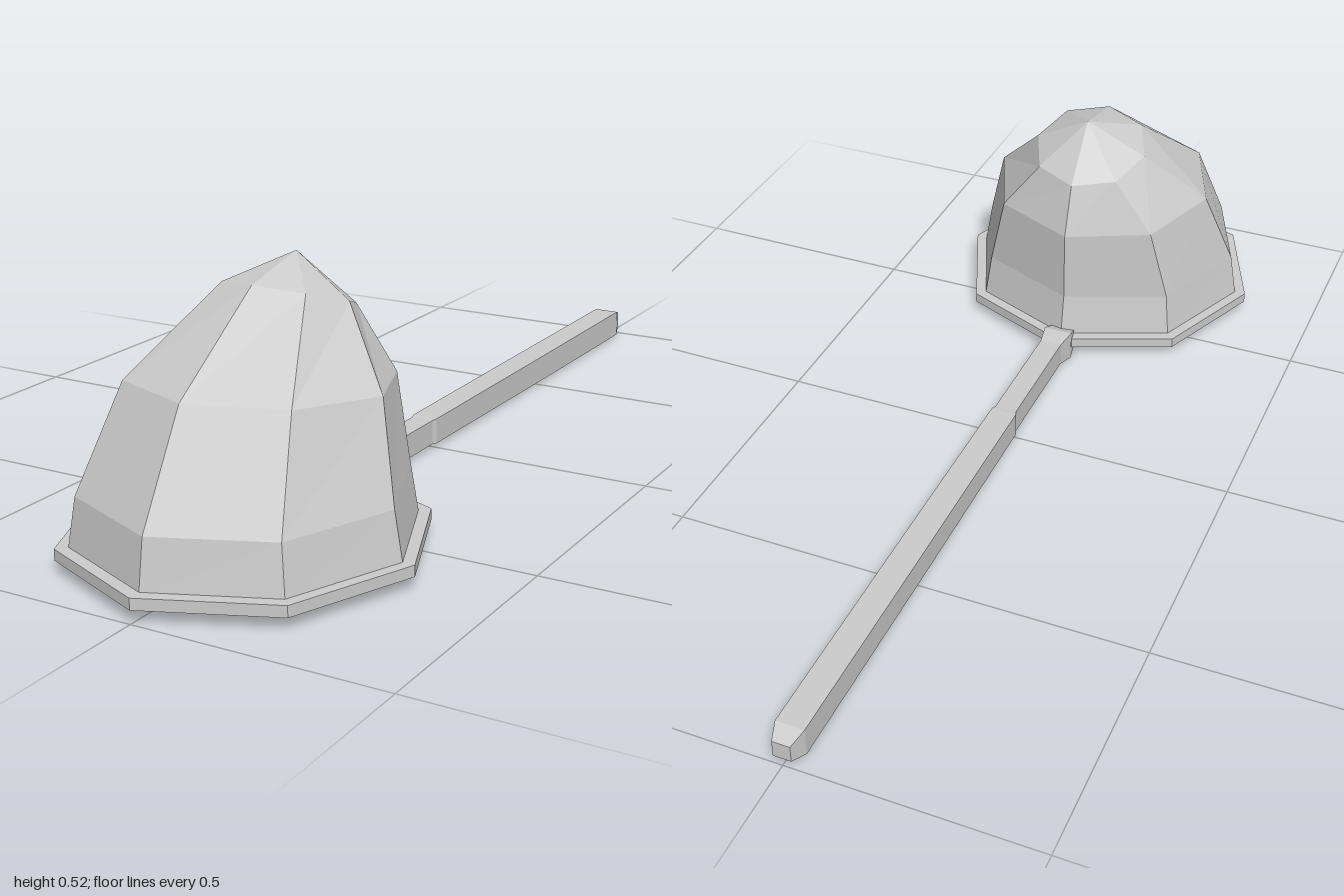
import * as THREE from 'three';

const grey = new THREE.MeshStandardMaterial({ color: 0xcccccc, flatShading: true });
const cloth = new THREE.MeshStandardMaterial({ color: 0xcccccc, flatShading: true, side: THREE.DoubleSide });

// Joins rings of points, each counter-clockwise seen from the end of the sequence
function loft(rings, capped) {
  const n = rings[0].length, index = [];
  for (let r = 0; r < rings.length - 1; r++) {
    for (let i = 0; i < n; i++) {
      const j = (i + 1) % n, a = r * n, b = a + n;
      index.push(a + i, a + j, b + j, a + i, b + j, b + i);
    }
  }
  if (capped) {
    const last = (rings.length - 1) * n;
    for (let i = 1; i < n - 1; i++) {
      index.push(0, i + 1, i, last, last + i, last + i + 1);
    }
  }
  const geometry = new THREE.BufferGeometry();
  geometry.setAttribute('position', new THREE.Float32BufferAttribute(rings.flat(2), 3));
  geometry.setIndex(index);
  const flat = geometry.toNonIndexed();
  flat.computeVertexNormals();
  return flat;
}

// Eight-sided ring around (0, y, z), tilted by a slope along z
function netRing([y, z, rx, rz, slope]) {
  return Array.from({ length: 8 }, (_, i) => {
    const a = (i * Math.PI) / 4, dz = rz * Math.cos(a);
    return [rx * Math.sin(a), y + dz * slope, z + dz];
  });
}

// Rectangular handle section at z
function handleSection([z, w, y0, y1]) {
  return [[-w, y0, z], [w, y0, z], [w, y1, z], [-w, y1, z]];
}

function octagon(Type, r) {
  const path = new Type();
  path.setFromPoints(Array.from({ length: 8 }, (_, i) =>
    new THREE.Vector2(r * Math.cos((i * Math.PI) / 4), r * Math.sin((i * Math.PI) / 4))));
  path.closePath();
  return path;
}

export function createModel() {
  const group = new THREE.Group();
  const add = (name, geometry, material) => {
    const mesh = new THREE.Mesh(geometry, material);
    mesh.name = name;
    group.add(mesh);
    return mesh;
  };

  // Net bag leaning back to an off-centre tip: y, z, radius x, radius z, slope
  add('net', loft([
    [0.04, 0.657, 0.32, 0.318, 0],
    [0.14, 0.656, 0.303, 0.303, 0],
    [0.318, 0.598, 0.248, 0.248, 0.075],
    [0.45, 0.505, 0.126, 0.12, 0.33],
    [0.523, 0.48, 0, 0, 0],
  ].map(netRing)), cloth);

  // Flat octagonal hoop
  const hoopShape = octagon(THREE.Shape, 0.343);
  hoopShape.holes.push(octagon(THREE.Path, 0.29));
  const hoopGeometry = new THREE.ExtrudeGeometry(hoopShape, { depth: 0.022, bevelEnabled: false });
  hoopGeometry.rotateX(-Math.PI / 2);
  add('hoop', hoopGeometry, grey).position.set(0, 0.025, 0.657);

  // Handle from butt to hoop socket: z, half width, bottom y, top y
  add('handle', loft([
    [-1, 0.018, 0.017, 0.053],
    [-0.965, 0.029, 0.005, 0.065],
    [-0.5, 0.029, 0.006, 0.064],
    [0, 0.028, 0.009, 0.063],
    [0.01, 0.024, 0.01, 0.062],
    [0.275, 0.024, 0.01, 0.062],
    [0.32, 0.032, 0, 0.067],
    [0.375, 0.023, 0.01, 0.045],
  ].map(handleSection), true), grey);

  return group;
}
